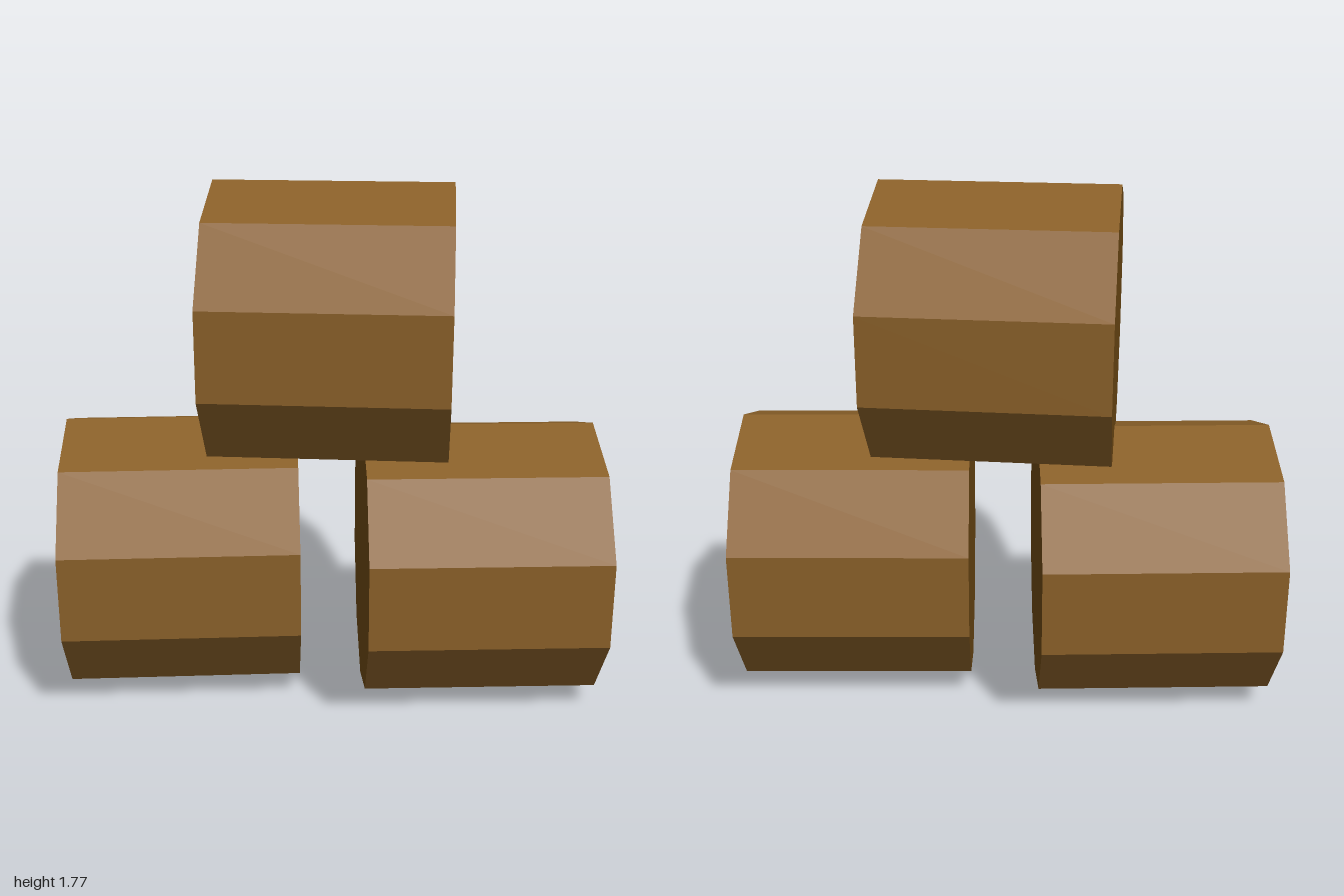
import * as THREE from 'three';

export function createModel() {
  const bark = new THREE.MeshStandardMaterial({ color: 0x8a6029 });
  bark.name = 'bark brown';
  const cut = new THREE.MeshStandardMaterial({ color: 0x6b4713 });
  cut.name = 'cut wood brown';

  // Ten-sided log lying along x, one corner pointing up; unshared vertices give flat facets
  const indexed = new THREE.CylinderGeometry(0.475, 0.475, 0.79, 10, 1, false, Math.PI / 2);
  indexed.rotateZ(-Math.PI / 2);
  const logGeometry = indexed.toNonIndexed();
  logGeometry.computeVertexNormals();

  // Stack: two logs end to end, one resting across the gap
  const logs = [
    ['lowerRightLog', -0.503, 0.475, 0.058, 14.4],
    ['lowerLeftLog', 0.512, 0.475, -0.07, 13.1],
    ['upperLog', 0.019, 1.295, -0.008, 7.1],
  ];

  const model = new THREE.Group();
  model.name = 'logPile';
  for (const [name, x, y, z, yaw] of logs) {
    const log = new THREE.Mesh(logGeometry, [bark, cut, cut]); // side, then both ends
    log.name = name;
    log.position.set(x, y, z);
    log.rotation.y = THREE.MathUtils.degToRad(yaw);
    model.add(log);
  }
  return model;
}
